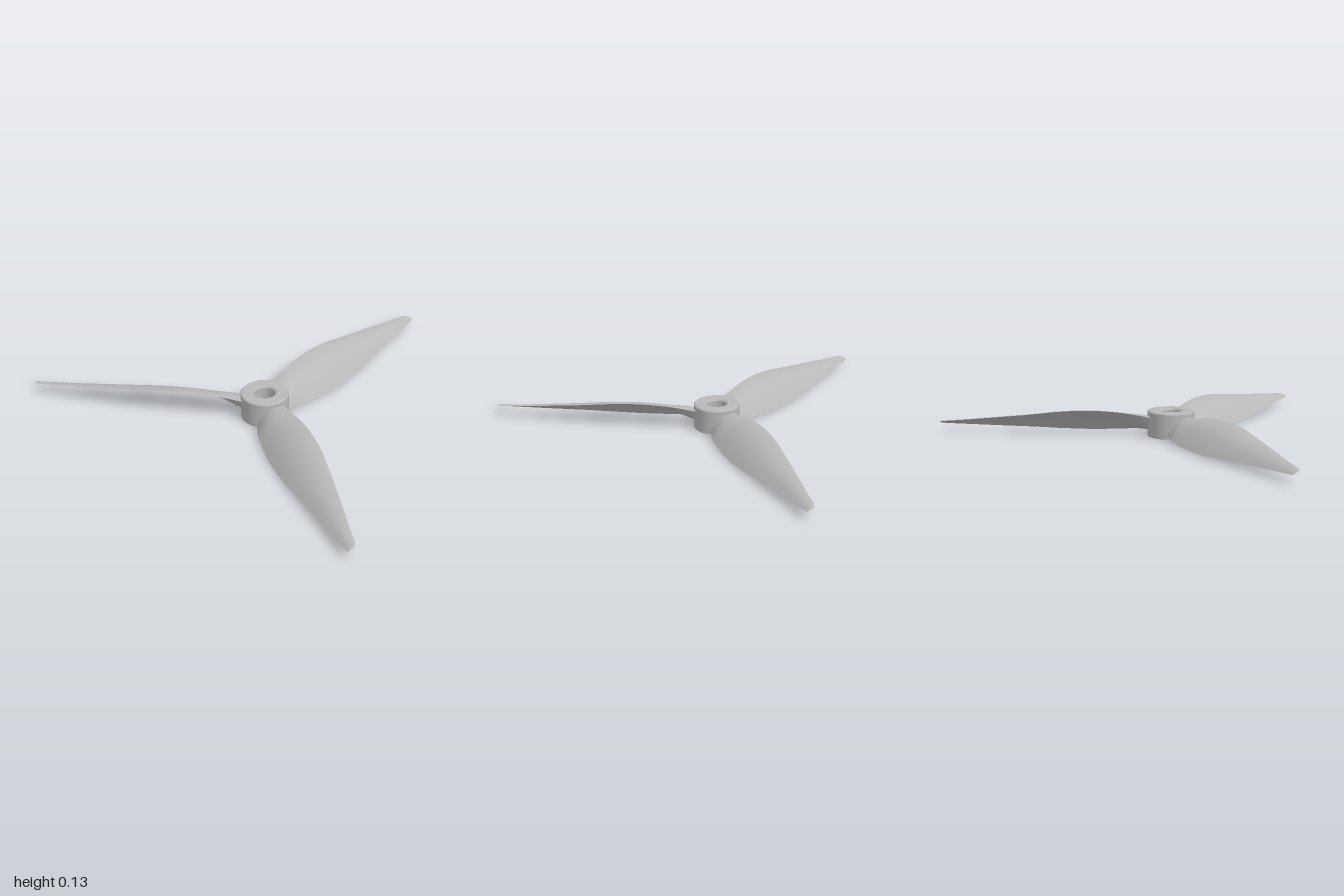
import * as THREE from 'three';

const grey = new THREE.MeshStandardMaterial({ color: 0xb8b8b8 });
grey.name = 'grey plastic';

const curve = (pts) => new THREE.CatmullRomCurve3(pts.map((p) => new THREE.Vector3(...p)));

// Blade edges as [distance from hub axis, y, z]
const highEdge = curve([
  [0.07, 0.095, -0.062], [0.12, 0.1, -0.06], [0.18, 0.11, -0.064], [0.28, 0.124, -0.076],
  [0.4, 0.13, -0.084], [0.54, 0.123, -0.083], [0.68, 0.105, -0.07], [0.88, 0.082, -0.046],
  [1.04, 0.064, -0.024], [1.12, 0.056, -0.013], [1.142, 0.052, -0.002], [1.15, 0.046, 0.019],
]);
const lowEdge = curve([
  [0.07, 0.015, 0.068], [0.12, 0.015, 0.078], [0.18, 0.014, 0.095], [0.28, 0.008, 0.106],
  [0.4, 0.004, 0.111], [0.54, 0.007, 0.105], [0.68, 0.015, 0.09], [0.88, 0.025, 0.064],
  [1.04, 0.033, 0.045], [1.12, 0.037, 0.037], [1.142, 0.039, 0.034], [1.15, 0.041, 0.03],
]);

// Cambered skins lofted between the two edges; side is +1 for top, -1 for underside
function bladeSkin(side) {
  const rows = 66, cols = 16, pos = [], index = [];
  for (let i = 0; i <= rows; i++) {
    const a = highEdge.getPoint(i / rows), b = lowEdge.getPoint(i / rows);
    const chord = b.clone().sub(a);
    const normal = chord.clone().cross(new THREE.Vector3(1, 0, 0)).normalize();
    const root = 1 - THREE.MathUtils.smoothstep(a.x, 0.08, 0.26);
    const width = chord.length();
    const camber = width * 0.075 * (1 - root);
    const half = width * (0.045 + 0.16 * root);
    for (let j = 0; j <= cols; j++) {
      const u = (1 - Math.cos((Math.PI * j) / cols)) / 2;
      const bulge = Math.sin(Math.PI * Math.pow(u, 0.85));
      const p = a.clone().addScaledVector(chord, u)
        .addScaledVector(normal, bulge * (camber + side * half));
      pos.push(p.x, p.y, p.z);
      if (i < rows && j < cols) {
        const k = i * (cols + 1) + j, n = k + cols + 1;
        if (side > 0) index.push(k, k + 1, n, k + 1, n + 1, n);
        else index.push(k, n, k + 1, k + 1, n, n + 1);
      }
    }
  }
  const geo = new THREE.BufferGeometry();
  geo.setAttribute('position', new THREE.Float32BufferAttribute(pos, 3));
  geo.setIndex(index);
  geo.computeVertexNormals();
  return geo;
}

function hubGeometry() {
  // Each straight run is doubled at its corners so the rims stay crisp
  const corners = [[0.05, 0], [0.115, 0], [0.115, 0.119], [0.109, 0.125], [0.057, 0.125], [0.05, 0.117], [0.05, 0]];
  const profile = [];
  corners.forEach(([r, y], i) => {
    const [pr, py] = corners[Math.max(i - 1, 0)], [nr, ny] = corners[Math.min(i + 1, 6)];
    const e = 0.02;
    if (i > 0) profile.push(new THREE.Vector2(r + (pr - r) * e, y + (py - y) * e));
    profile.push(new THREE.Vector2(r, y));
    if (i < 6) profile.push(new THREE.Vector2(r + (nr - r) * e, y + (ny - y) * e));
  });
  return new THREE.LatheGeometry(profile, 64);
}

export function createModel() {
  const model = new THREE.Group();
  model.name = 'propeller';
  const rotor = new THREE.Group();
  rotor.name = 'rotor';
  rotor.position.x = -0.28;
  model.add(rotor);

  // Hub with a shaft hole
  const hub = new THREE.Mesh(hubGeometry(), grey);
  hub.name = 'hub';
  rotor.add(hub);

  // Three twisted blades
  const skins = { bladeTop: bladeSkin(1), bladeUnderside: bladeSkin(-1) };
  for (let i = 0; i < 3; i++) {
    const blade = new THREE.Group();
    blade.name = `blade${i + 1}`;
    for (const [name, geo] of Object.entries(skins)) {
      const skin = new THREE.Mesh(geo, grey);
      skin.name = name;
      blade.add(skin);
    }
    blade.rotation.y = (i * Math.PI * 2) / 3;
    rotor.add(blade);
  }
  return model;
}
